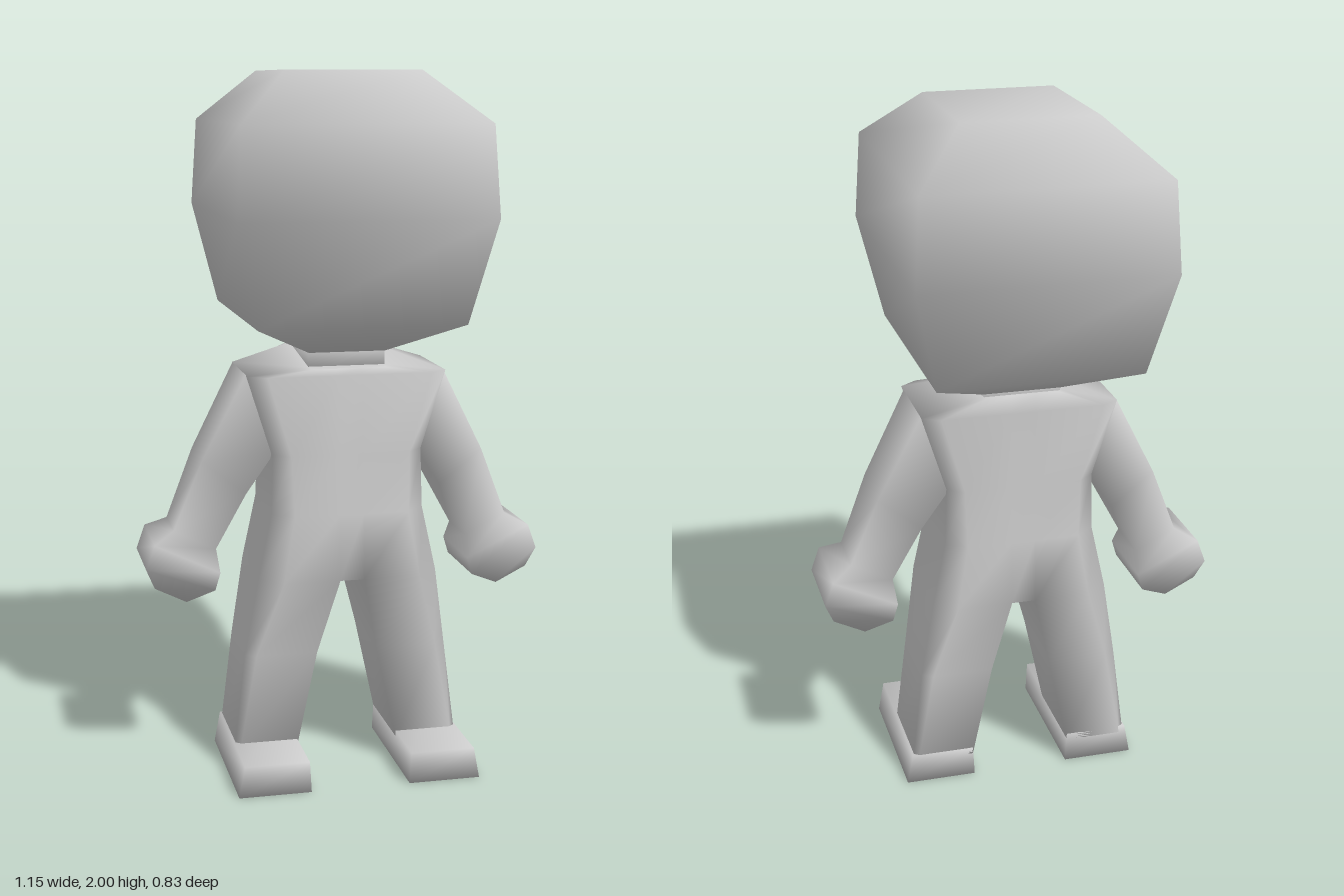
import * as THREE from 'three';
import { mergeGeometries, mergeVertices } from 'three/addons/utils/BufferGeometryUtils.js';

const material = new THREE.MeshStandardMaterial({ color: 0xcccccc });

// Geometry from points and triangle indices
function build(points, index) {
  const g = new THREE.BufferGeometry();
  g.setAttribute('position', new THREE.Float32BufferAttribute(points.flat(), 3));
  g.setIndex(index);
  return g;
}

// Skin between rings ordered bottom to top, each running front, +x, back, -x
function loft(rings, capBottom = true, capTop = true) {
  const n = rings[0].length, index = [], last = (rings.length - 1) * n;
  for (let r = 0; r < rings.length - 1; r++) {
    for (let i = 0; i < n; i++) {
      const a = r * n + i, b = r * n + (i + 1) % n;
      index.push(a, b, b + n, a, b + n, a + n);
    }
  }
  for (let i = 1; i < n - 1; i++) {
    if (capBottom) index.push(0, i + 1, i);
    if (capTop) index.push(last, last + i, last + i + 1);
  }
  return build(rings.flat(), index);
}

const mirror = ring => ring.map(([x, y, z]) => [-x, y, z]).reverse();
const rect = (y, x0, x1, zf, zb) => [[x0, y, zf], [x1, y, zf], [x1, y, zb], [x0, y, zb]];

// Half of a body section: inner edge, chamfered outer corners
function halfRing([y, inner, outer, zf, zb, k, tilt = 0]) {
  const xo = inner + (outer - inner) * k;
  return [[inner, zf], [xo, zf], [outer, zf * k], [outer, zb * k], [xo, zb], [inner, zb]]
    .map(([x, z]) => [x, y - tilt * z, z]);
}

function mesh(name, geometry) {
  geometry.computeVertexNormals();
  const m = new THREE.Mesh(geometry, material);
  m.name = name;
  return m;
}

export function createModel() {
  const model = new THREE.Group();
  model.name = 'figure';

  // Head: y, half width, half depth
  const head = [[1.225, 0.11, 0.14], [1.32, 0.29, 0.345], [1.61, 0.355, 0.415],
    [1.86, 0.34, 0.4], [2, 0.19, 0.22]];
  model.add(mesh('head', loft(head.map(([y, w, d]) => rect(y, -w, w, d, -d)))));
  model.add(mesh('neck', loft([1.16, 1.25].map(y => rect(y, -0.11, 0.11, 0.13, -0.14)))));

  // Torso and legs: y, inner x, outer x, front z, back z, corner fullness, tilt
  const hip = [0.58, 0.035, 0.26, 0.21, -0.165, 0.72];
  const torso = [hip,
    [0.77, 0.035, 0.22, 0.205, -0.16, 0.7],
    [0.94, 0.035, 0.215, 0.19, -0.155, 0.75],
    [1.165, 0.035, 0.285, 0.185, -0.155, 0.8],
    [1.2, 0.035, 0.115, 0.16, -0.155, 0.85, 0.12]].map(halfRing);
  const leg = [[0.07, 0.148, 0.33, 0.14, -0.13, 0.92],
    [0.35, 0.088, 0.297, 0.14, -0.13, 0.85], hip].map(halfRing);
  const h = halfRing(hip), hm = mirror(h);
  const parts = [
    loft(torso.map(r => [...r, ...mirror(r)]), false, true),
    loft(leg, true, false),
    loft(leg.map(mirror), true, false),
    build([hm[0], h[5], h[0], hm[5]], [0, 1, 2, 0, 2, 3]),
  ];
  model.add(mesh('body', mergeVertices(mergeGeometries(parts), 1e-4)));

  // Arms and hands: inner x, y, outer x, y, half depth
  const arm = [[0.46, 0.515, 0.55, 0.56, 0.105],
    [0.38, 0.55, 0.575, 0.62, 0.125],
    [0.365, 0.6, 0.55, 0.69, 0.125],
    [0.37, 0.66, 0.49, 0.72, 0.082],
    [0.285, 0.82, 0.41, 0.92, 0.1],
    [0.205, 0.94, 0.285, 1.165, 0.115],
    [0.12, 1.0, 0.14, 1.18, 0.11]]
    .map(([xi, yi, xo, yo, d]) => [[xi, yi, d], [xo, yo, d], [xo, yo, -d], [xi, yi, -d]]);
  const foot = [rect(0, 0.143, 0.35, 0.32, -0.13), rect(0.09, 0.148, 0.333, 0.32, -0.13)];

  model.add(mesh('leftArm', loft(arm)), mesh('rightArm', loft(arm.map(mirror))));
  model.add(mesh('leftFoot', loft(foot)), mesh('rightFoot', loft(foot.map(mirror))));
  return model;
}
